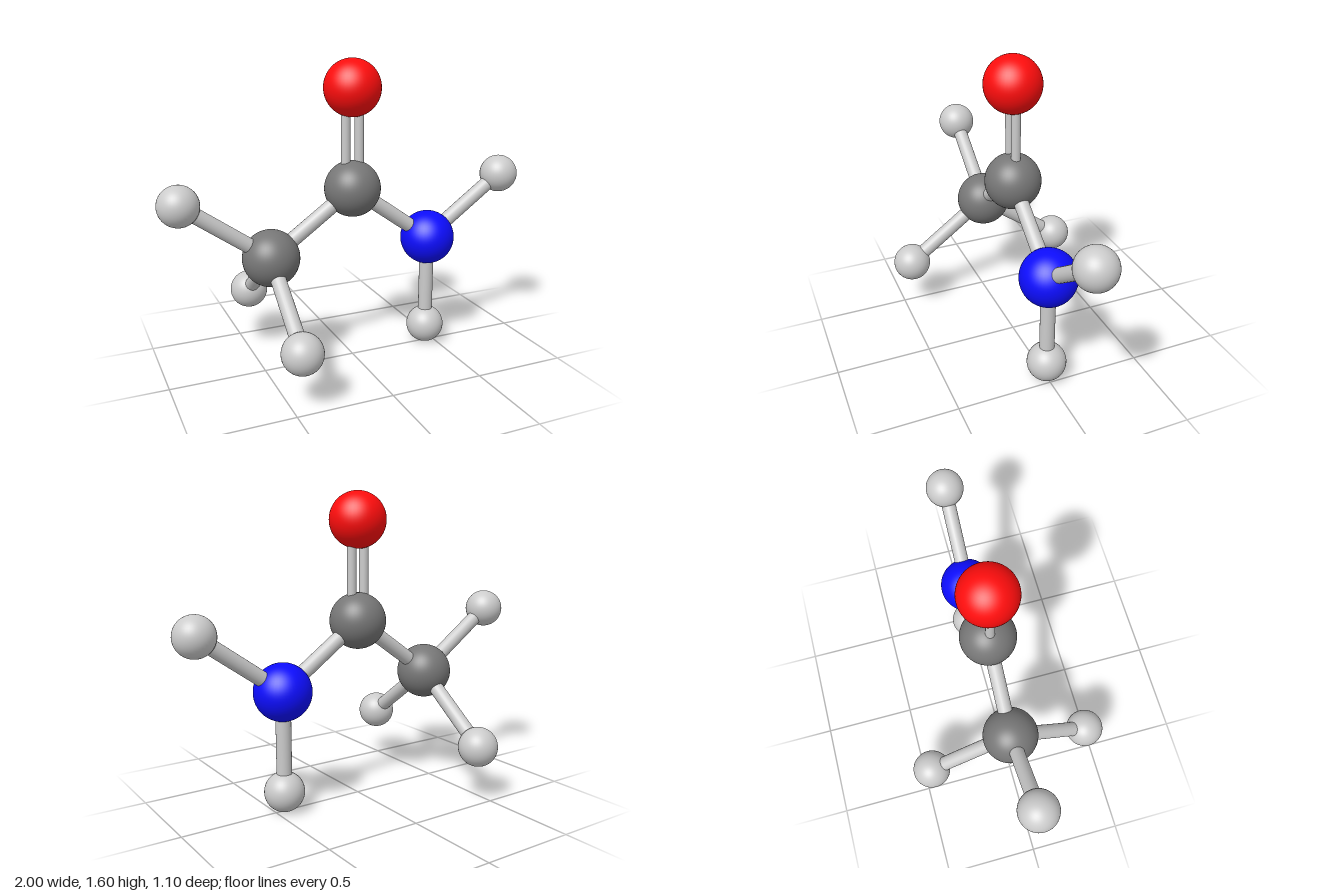
import * as THREE from 'three';

const BIG = 0.147, SMALL = 0.103, BOND = 0.039, THIN = 0.024;

export function createModel() {
  const model = new THREE.Group();
  model.name = 'ballAndStickMolecule';

  const grey = new THREE.MeshStandardMaterial({ color: 0xcccccc });
  const carbon = new THREE.MeshStandardMaterial({ color: 0x777777 });
  const red = new THREE.MeshStandardMaterial({ color: 0xff0d0d });
  const blue = new THREE.MeshStandardMaterial({ color: 0x0d0dff });

  const bigBall = new THREE.SphereGeometry(BIG, 48, 32);
  const smallBall = new THREE.SphereGeometry(SMALL, 40, 24);

  // A ball centred on an atom position; returns that position
  function atom(name, geometry, material, x, y, z = 0) {
    const mesh = new THREE.Mesh(geometry, material);
    mesh.name = name;
    mesh.position.set(x, y, z);
    model.add(mesh);
    return mesh.position;
  }

  // A rod joining two atom centres, optionally shifted sideways in x
  function bond(name, a, b, radius = BOND, shift = 0) {
    const dir = b.clone().sub(a);
    const mesh = new THREE.Mesh(
      new THREE.CylinderGeometry(radius, radius, dir.length(), 24), grey);
    mesh.name = name;
    mesh.position.copy(a).add(b).multiplyScalar(0.5);
    mesh.position.x += shift;
    mesh.quaternion.setFromUnitVectors(new THREE.Vector3(0, 1, 0), dir.normalize());
    model.add(mesh);
  }

  // Large atoms
  const centre = atom('centralCarbon', bigBall, carbon, 0, 0.94);
  const oxygen = atom('oxygen', bigBall, red, 0, 1.457);
  const methyl = atom('methylCarbon', bigBall, carbon, -0.449, 0.621);
  const nitrogen = atom('nitrogen', bigBall, blue, 0.449, 0.621);

  // Skeleton bonds, with a pair of thin rods for the double bond
  bond('carbonBond', centre, methyl);
  bond('nitrogenBond', centre, nitrogen);
  for (const side of [-1, 1]) bond('doubleBondRod', centre, oxygen, THIN, side * 0.038);

  // Hydrogens, each with its bond to the parent atom
  const hydrogens = [
    [methyl, -0.897, 0.94, 0],
    [methyl, -0.449, 0.294, 0.449],
    [methyl, -0.449, 0.294, -0.449],
    [nitrogen, 0.897, 0.94, 0],
    [nitrogen, 0.449, 0.105, 0],
  ];
  for (const [parent, x, y, z] of hydrogens) {
    bond('hydrogenBond', parent, atom('hydrogen', smallBall, grey, x, y, z));
  }
  return model;
}
